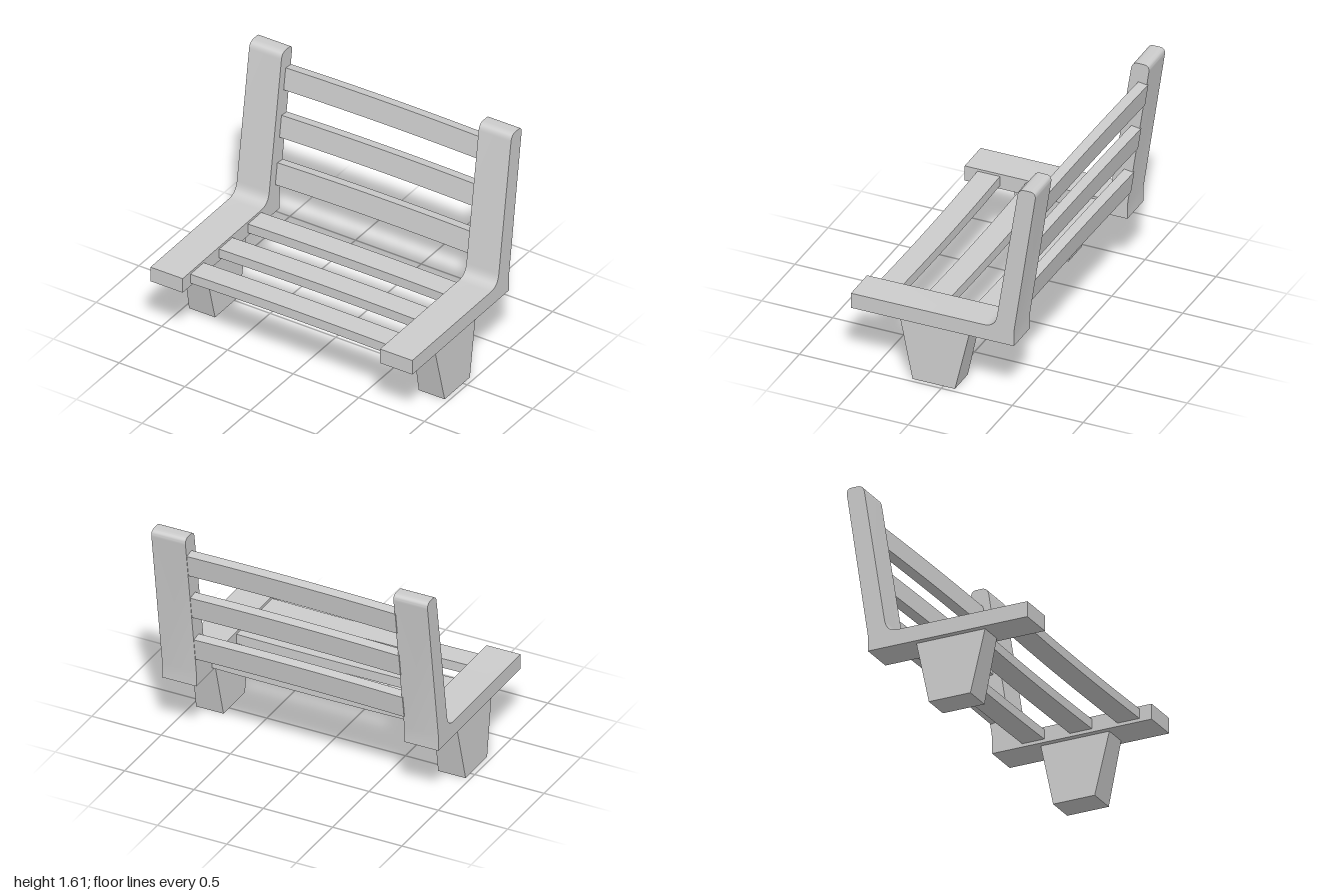
import * as THREE from 'three';
import { toCreasedNormals } from 'three/addons/utils/BufferGeometryUtils.js';

const material = new THREE.MeshStandardMaterial({ color: 0xcccccc });

function addMesh(parent, name, geometry) {
  const mesh = new THREE.Mesh(geometry, material);
  mesh.name = name;
  parent.add(mesh);
  return mesh;
}

// Apply a rule to every vertex of a geometry.
function moveVertices(geometry, rule) {
  const p = geometry.attributes.position;
  const v = new THREE.Vector3();
  for (let i = 0; i < p.count; i++) {
    rule(v.fromBufferAttribute(p, i));
    p.setXYZ(i, v.x, v.y, v.z);
  }
  geometry.computeVertexNormals();
  return geometry;
}

// L-shaped side frame: seat rail and leaning back post, profile drawn in z and y.
function sideFrameGeometry(width) {
  const s = new THREE.Shape();
  s.moveTo(0.645, 0.437);
  s.lineTo(0.645, 0.545);
  s.lineTo(-0.285, 0.545);
  s.quadraticCurveTo(-0.367, 0.545, -0.38, 0.63);
  s.lineTo(-0.524, 1.565);
  s.quadraticCurveTo(-0.532, 1.613, -0.575, 1.613);
  s.lineTo(-0.612, 1.613);
  s.quadraticCurveTo(-0.656, 1.613, -0.649, 1.565);
  s.lineTo(-0.499, 0.545);
  s.lineTo(-0.499, 0.437);
  const g = new THREE.ExtrudeGeometry(s, { depth: width, bevelEnabled: false, curveSegments: 10 });
  g.translate(0, 0, -width / 2).rotateY(-Math.PI / 2);
  return toCreasedNormals(g, 0.5);
}

// Leg: flares slightly sideways and tapers front to back toward the ground.
function legGeometry() {
  const g = new THREE.BoxGeometry(1, 0.44, 1).translate(0, 0.22, 0);
  return moveVertices(g, (v) => {
    const top = v.y > 0.2;
    v.x *= top ? 0.165 : 0.197;
    v.z = v.z * (top ? 0.494 : 0.298) + 0.075;
  });
}

// Slat: a plank bowed gently along its length, a little more at one end.
function slatGeometry() {
  const g = new THREE.BoxGeometry(1.52, 0.068, 0.158, 12, 1, 1);
  moveVertices(g, (v) => {
    const t = v.x / 0.75;
    v.z += 0.0095 * t * t - 0.0045 * t;
  });
  return toCreasedNormals(g, 0.5);
}

export function createModel() {
  const bench = new THREE.Group();
  bench.name = 'bench';

  // Side frames and legs, turned very slightly as one assembly
  const supports = new THREE.Group();
  supports.name = 'supports';
  supports.rotation.y = 0.0075;
  bench.add(supports);
  const frame = sideFrameGeometry(0.245);
  const leg = legGeometry();
  for (const [side, label] of [[1, 'left'], [-1, 'right']]) {
    addMesh(supports, label + 'SideFrame', frame).position.x = side * 0.87;
    addMesh(supports, label + 'Leg', leg).position.x = side * 0.87;
  }

  // Three seat slats and three leaning back slats
  const slat = slatGeometry();
  const lean = 0.147;
  for (let i = 0; i < 3; i++) {
    addMesh(bench, 'seatSlat' + (i + 1), slat).position.set(0, 0.494, 0.468 - i * 0.3415);
    const back = addMesh(bench, 'backSlat' + (i + 1), slat);
    back.position.set(0, 0.733 + i * 0.337, -0.494 - i * 0.0495);
    back.rotation.x = Math.PI / 2 - lean;
  }
  return bench;
}
